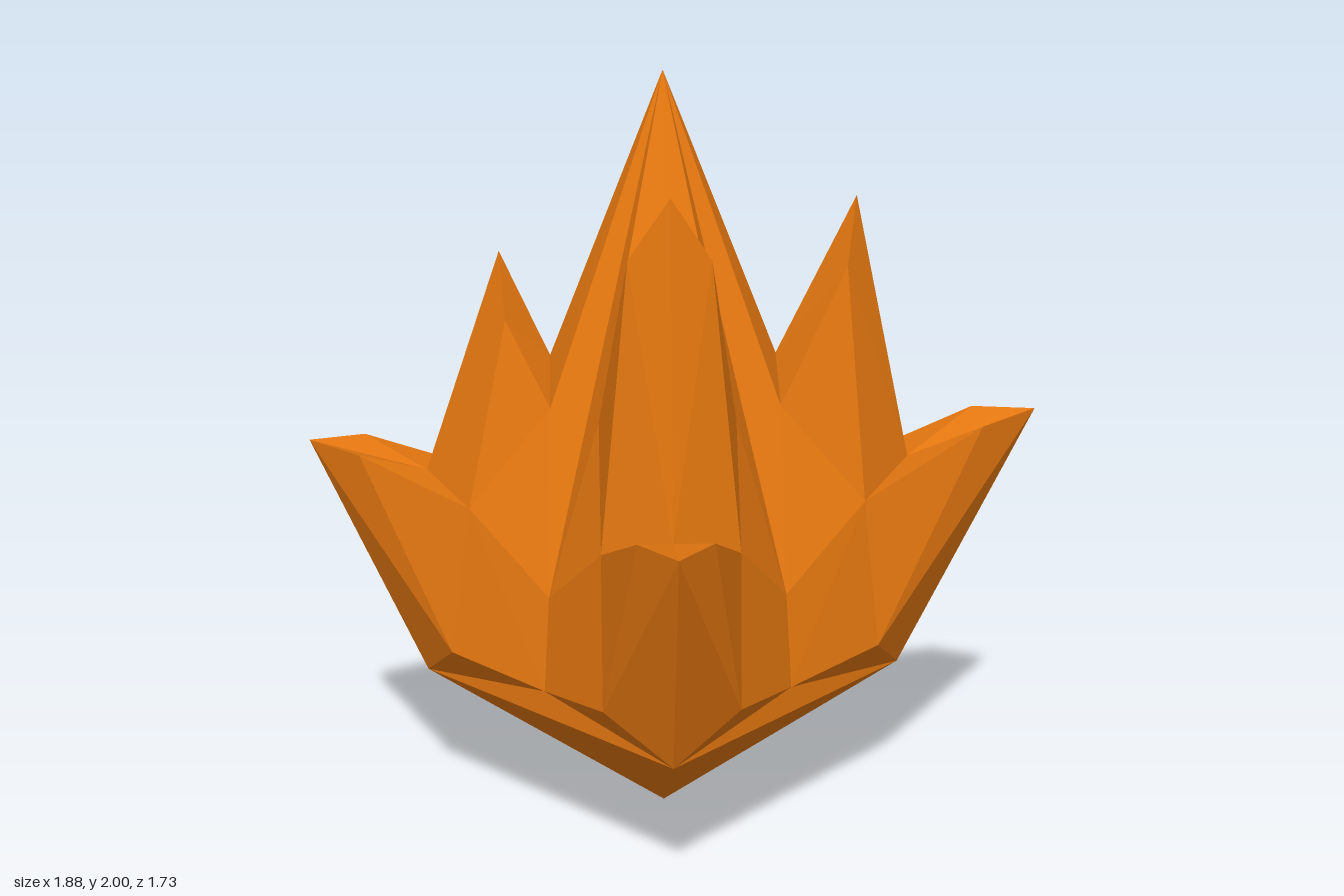
import * as THREE from 'three';

// Each quarter, in order +x, +z, -x, -z: [along, height] of the points that differ
const QUARTERS = [
  { tip: [0.97, 1.11], tipSide: [0.82, 1.09], notch: [0.64, 0.985], notchSide: [0.51, 0.92], peak: [0.49, 1.68], shoulder: [0.46, 1.52] },
  { tip: [0.91, 1.05], tipSide: [0.775, 1.04], notch: [0.615, 0.98], notchSide: [0.5, 0.91], peak: [0.455, 1.775], shoulder: [0.425, 1.62] },
  { tip: [0.915, 1.05], tipSide: [0.78, 1.035], notch: [0.615, 0.965], notchSide: [0.5, 0.915], peak: [0.415, 1.545], shoulder: [0.4, 1.39] },
  { tip: [0.82, 0.95], tipSide: [0.695, 0.96], notch: [0.58, 0.925], notchSide: [0.485, 0.905], peak: [0.43, 1.575], shoulder: [0.41, 1.41] },
];

// Makes a faceted mesh from polygons of one half plus their mirror across z
function mirroredMesh(name, polygons, material) {
  const positions = [];
  for (const side of [1, -1]) {
    for (const poly of polygons) {
      for (let i = 1; i < poly.length - 1; i++) {
        const tri = [poly[0], poly[i], poly[i + 1]];
        if (side < 0) tri.reverse();
        for (const [x, y, z] of tri) positions.push(x, y, z * side);
      }
    }
  }
  const geometry = new THREE.BufferGeometry();
  geometry.setAttribute('position', new THREE.Float32BufferAttribute(positions, 3));
  geometry.computeVertexNormals();
  const mesh = new THREE.Mesh(geometry, material);
  mesh.name = name;
  return mesh;
}

export function createModel() {
  const model = new THREE.Group();
  model.name = 'spikedCrystal';
  const amber = new THREE.MeshStandardMaterial({ color: 0xe67810, flatShading: true });
  amber.name = 'amber orange';

  QUARTERS.forEach((q, k) => {
    const quarter = new THREE.Group();
    quarter.name = 'quarter' + (k + 1);
    quarter.rotation.y = -k * Math.PI / 2;
    const at = ([along, height], side = 0) => [along, height, side];

    // Points shared by every quarter
    const bottom = [0, 0, 0], apex = [0, 2, 0];
    const corner = [0.63, 0.4, 0], middle = [0.315, 0.4, 0.315];
    const low = [0.555, 0.52, 0.17];
    const valleyLow = [0.315, 0.47, 0.315], valleyHigh = [0.3, 0.72, 0.3];
    const gap = [0.29, 1.27, 0], gapSide = [0.29, 1.18, 0.17];
    // Points of this quarter
    const tip = at(q.tip), tipSide = at(q.tipSide, 0.09);
    const notch = at(q.notch), notchSide = at(q.notchSide, 0.17);
    const peak = at(q.peak), shoulder = at(q.shoulder, 0.1);

    quarter.add(
      // Pointed base with its upright rim
      mirroredMesh('base', [
        [bottom, corner, middle],
        [middle, corner, valleyLow],
        [corner, low, valleyLow],
      ], amber),
      // Wide lower spike leaning outwards
      mirroredMesh('outerSpike', [
        [corner, tip, low],
        [low, tip, tipSide],
        [low, tipSide, notchSide],
        [valleyLow, low, notchSide],
        [valleyLow, notchSide, valleyHigh],
        [notch, notchSide, tipSide],
        [notch, tipSide, tip],
      ], amber),
      // Upright spike behind it
      mirroredMesh('innerSpike', [
        [notch, peak, shoulder],
        [notch, shoulder, notchSide],
        [valleyHigh, notchSide, gapSide],
        [notchSide, shoulder, gapSide],
        [gap, gapSide, shoulder],
        [gap, shoulder, peak],
      ], amber),
      // Quarter of the tall central spike
      mirroredMesh('centralSpike', [
        [apex, valleyHigh, gapSide],
        [apex, gapSide, gap],
      ], amber),
    );
    model.add(quarter);
  });

  model.position.set(-0.03, 0, -0.045);
  const root = new THREE.Group();
  root.name = 'crystal';
  root.add(model);
  return root;
}
